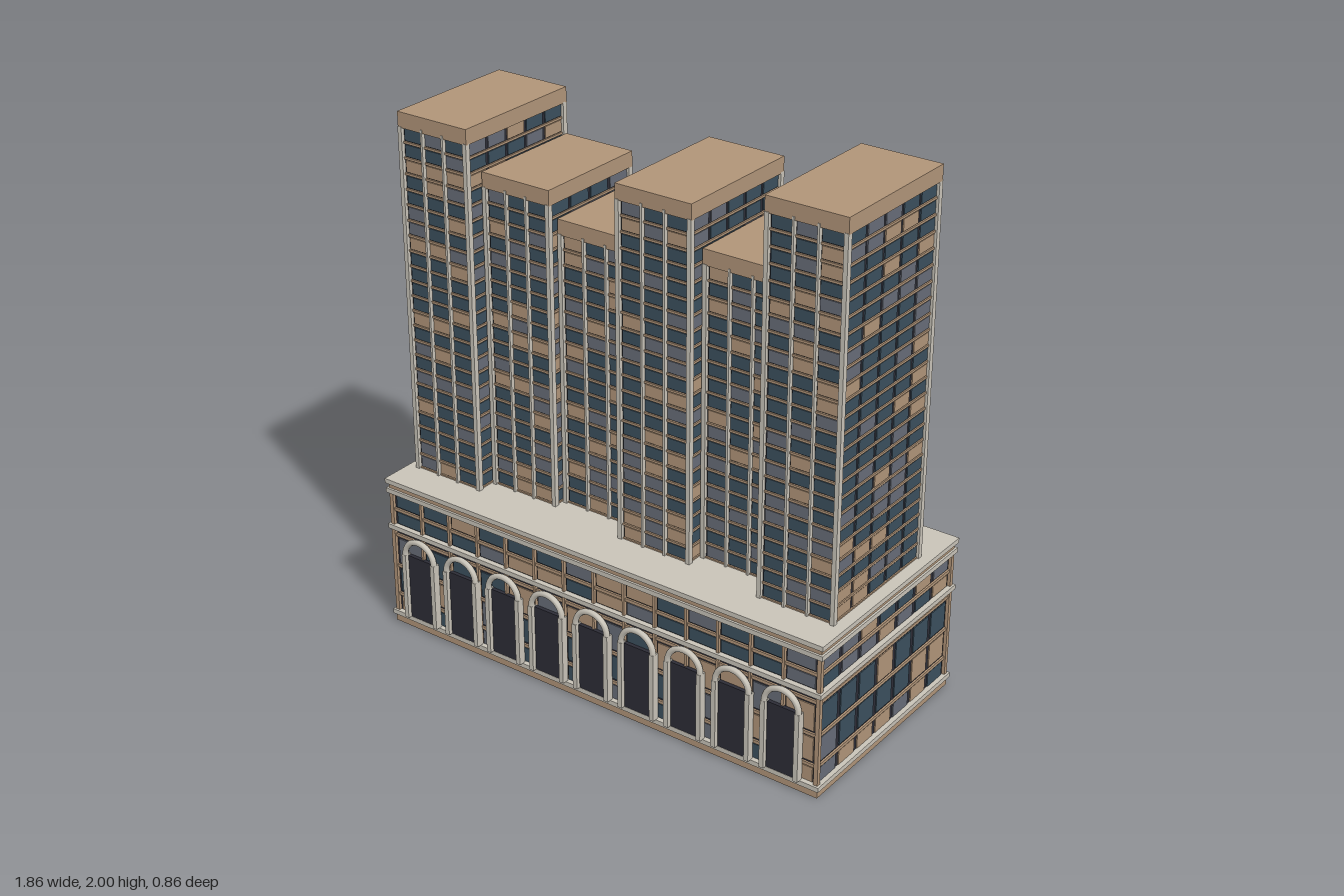
import * as THREE from 'three';
import { mergeGeometries } from 'three/addons/utils/BufferGeometryUtils.js';

const material = (name, color) => {
  const m = new THREE.MeshStandardMaterial({ color });
  m.name = name;
  return m;
};

export function createModel() {
  const mats = {
    tan: material('tan brick', 0xb09478),
    stone: material('pale stone', 0xc8c3b8),
    dark: material('dark frame', 0x2c2c36),
    blue: material('blue glass', 0x3b4f5d),
    grey: material('grey glass', 0x676c77),
  };

  // Small seeded generator for the window colours
  let seed = 20;
  const random = () => {
    seed = (seed * 1664525 + 1013904223) % 4294967296;
    return seed / 4294967296;
  };
  const windowColour = () => {
    const r = random();
    return r < 0.2 ? 'tan' : r < 0.45 ? 'grey' : 'blue';
  };

  // Collects boxes by part name and merges each part into one mesh
  function builder(name) {
    const parts = new Map();
    const put = (part, mat, geometry) => {
      if (!parts.has(part)) parts.set(part, { mat, list: [] });
      parts.get(part).list.push(geometry);
    };
    const box = (part, mat, x0, x1, y0, y1, z0, z1) => {
      const g = new THREE.BoxGeometry(x1 - x0, y1 - y0, z1 - z0);
      put(part, mat, g.translate((x0 + x1) / 2, (y0 + y1) / 2, (z0 + z1) / 2));
    };
    const finish = () => {
      const group = new THREE.Group();
      group.name = name;
      for (const [part, { mat, list }] of parts) {
        const mesh = new THREE.Mesh(mergeGeometries(list), mats[mat]);
        mesh.name = part;
        group.add(mesh);
      }
      return group;
    };
    return { put, box, finish };
  }

  // Fills the four sides of a block with a grid of thin window panes
  function glaze(b, [x0, x1, z0, z1], rows, columnsX, columnsZ, inset, edge, gap) {
    const sides = [
      [x0, x1, columnsX, z1 - inset, 'z'],
      [x0, x1, columnsX, z0 + inset, 'z'],
      [z0, z1, columnsZ, x1 - inset, 'x'],
      [z0, z1, columnsZ, x0 + inset, 'x'],
    ];
    for (const [from, to, count, at, axis] of sides) {
      const pitch = (to - from - 2 * edge) / count;
      for (const [y0, y1] of rows) {
        for (let i = 0; i < count; i++) {
          const a = from + edge + i * pitch + gap / 2;
          const c = a + pitch - gap;
          const colour = windowColour();
          const part = colour + 'Windows';
          if (axis === 'z') b.box(part, colour, a, c, y0, y1, at - 0.004, at + 0.004);
          else b.box(part, colour, at - 0.004, at + 0.004, y0, y1, a, c);
        }
      }
    }
  }

  const model = new THREE.Group();
  model.name = 'towerBlock';

  // Towers: x range, z range, number of storeys below the roof cap
  const base = 0.59, storey = 0.0564;
  const towers = [
    [-0.895, -0.595, -0.243, 0.285, 23],
    [-0.595, -0.31, -0.24, 0.213, 20],
    [-0.31, -0.005, -0.27, 0.17, 18],
    [-0.005, 0.295, -0.26, 0.255, 22],
    [0.295, 0.59, -0.27, 0.193, 19],
    [0.59, 0.89, -0.25, 0.29, 24],
  ];
  towers.forEach(([x0, x1, z0, z1, floors], n) => {
    const b = builder('tower' + (n + 1));
    const top = base + floors * storey;
    const d = 0.012;
    b.box('core', 'dark', x0 + d, x1 - d, base, top, z0 + d, z1 - d);
    b.box('roofCap', 'tan', x0, x1, top, top + storey, z0, z1);

    // Floor slabs and window rows
    const rows = [], s = 0.006;
    for (let i = 0; i < floors; i++) {
      const y = base + i * storey;
      b.box('floorSlabs', 'tan', x0 + s, x1 - s, y, y + 0.008, z0 + s, z1 - s);
      rows.push([y + 0.011, y + 0.053]);
    }
    glaze(b, [x0, x1, z0, z1], rows, 3, Math.round((z1 - z0) / 0.107), 0.012, 0.014, 0.014);

    // Corner posts and the fins between bays
    const p = 0.016;
    for (const x of [x0, x1 - p])
      for (const z of [z0, z1 - p])
        b.box('cornerPosts', 'stone', x, x + p, base, top + 0.004, z - 0.002, z + p + 0.002);
    for (let i = 1; i < 3; i++) {
      const x = x0 + 0.014 + (i * (x1 - x0 - 0.028)) / 3;
      for (const z of [z0, z1 - p])
        b.box('fins', 'stone', x - 0.004, x + 0.004, base, top + 0.012, z - 0.003, z + p + 0.003);
    }
    model.add(b.finish());
  });

  // Podium
  const P = [-0.92, 0.92, -0.425, 0.405];
  const podium = builder('podium');
  const ring = (part, mat, grow, y0, y1) =>
    podium.box(part, mat, P[0] - grow, P[1] + grow, y0, y1, P[2] - grow, P[3] + grow);
  ring('core', 'dark', -0.012, 0.002, 0.58);
  ring('plinth', 'tan', 0, 0, 0.03);
  for (const y of [0.11, 0.229, 0.358, 0.463]) ring('floorSlabs', 'tan', -0.005, y, y + 0.012);
  ring('parapet', 'tan', 0, 0.553, 0.577);
  for (const [y0, y1] of [[0.03, 0.048], [0.39, 0.408], [0.537, 0.555]])
    ring('stringCourses', 'stone', 0.008, y0, y1);
  ring('roofSlab', 'stone', 0.01, 0.575, 0.593);
  const podiumRows = [[0.05, 0.105], [0.13, 0.222], [0.248, 0.348], [0.412, 0.458], [0.48, 0.535]];
  glaze(podium, P, podiumRows, 14, 7, 0.012, 0.016, 0.02);
  for (const x of [P[0], P[1] - 0.016])
    for (const z of [P[2], P[3] - 0.016])
      podium.box('cornerPosts', 'tan', x, x + 0.016, 0, 0.58, z, z + 0.016);
  for (let i = 1; i < 14; i++) {
    const x = P[0] + 0.016 + (i * 1.808) / 14;
    for (const z of [P[2], P[3] - 0.014])
      podium.box('fins', 'tan', x - 0.005, x + 0.005, 0, 0.58, z, z + 0.014);
  }
  model.add(podium.finish());

  // Arched entrances along the front
  const arcade = builder('arcade');
  const springing = 0.31, radius = 0.067;
  for (let i = -4; i <= 4; i++) {
    const x = i * 0.195;
    arcade.box('doors', 'dark', x - 0.058, x + 0.058, 0.048, 0.305, 0.398, 0.412);
    for (const side of [-1, 1]) {
      const px = x + side * radius;
      arcade.box('archPosts', 'stone', px - 0.009, px + 0.009, 0.048, springing, 0.4, 0.428);
    }
    const arch = new THREE.TorusGeometry(radius, 0.011, 8, 20, Math.PI);
    arcade.put('arches', 'stone', arch.translate(x, springing, 0.417));
  }
  model.add(arcade.finish());

  return model;
}
